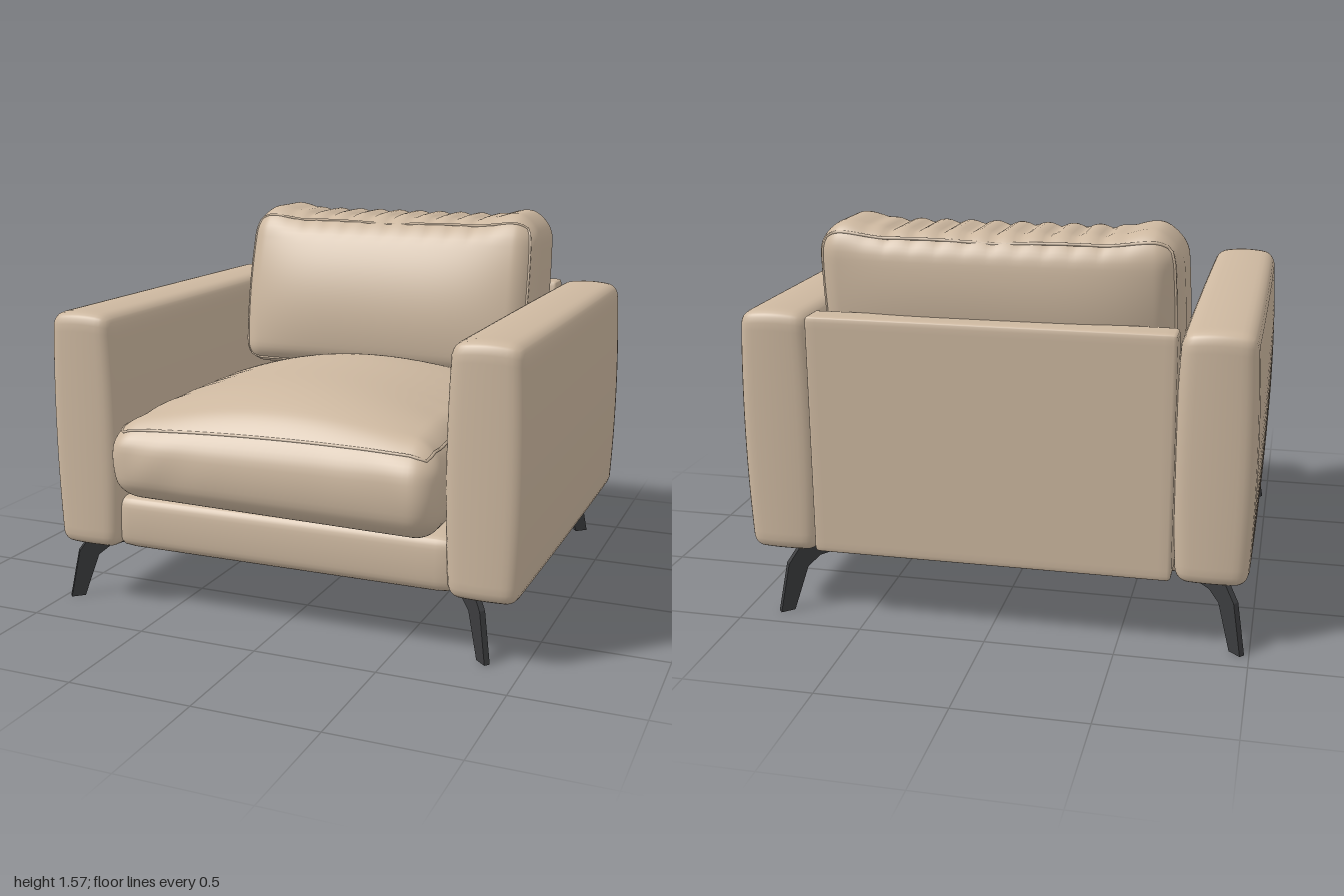
import * as THREE from 'three';
import { mergeVertices } from 'three/addons/utils/BufferGeometryUtils.js';

const { clamp } = THREE.MathUtils;

// Rounds a point of a box surface to radius r, then applies a shaping rule.
// The rule gets the point and its normalised coordinates u, v, w in -1..1.
function soften(p, half, r, rule) {
  const inner = new THREE.Vector3(
    clamp(p.x, r - half.x, half.x - r),
    clamp(p.y, r - half.y, half.y - r),
    clamp(p.z, r - half.z, half.z - r));
  p.sub(inner).setLength(r).add(inner);
  rule(p, p.x / half.x, p.y / half.y, p.z / half.z);
  return p;
}

// Upholstered block: a box grid, denser toward its edges, rounded and shaped
function softBox(half, r, segs, rule) {
  const geo = new THREE.BoxGeometry(2, 2, 2, ...segs);
  geo.deleteAttribute('uv');
  geo.deleteAttribute('normal');
  const pos = geo.attributes.position;
  const p = new THREE.Vector3();
  const warp = (t) => Math.sign(t) * (1 - Math.pow(1 - Math.min(1, Math.abs(t)), 1.7));
  for (let i = 0; i < pos.count; i++) {
    p.fromBufferAttribute(pos, i);
    p.set(warp(p.x), warp(p.y), warp(p.z)).multiply(half);
    soften(p, half, r, rule);
    pos.setXYZ(i, p.x, p.y, p.z);
  }
  const merged = mergeVertices(geo, 1e-5);
  merged.computeVertexNormals();
  return merged;
}

// Piping that follows four edges of a soft box; corner(a, b) gives an edge point
function piping(half, r, rule, corner) {
  const pts = [];
  const sides = [[-1, -1, 1, 0], [1, -1, 0, 1], [1, 1, -1, 0], [-1, 1, 0, -1]];
  const n = 16;
  for (const [a, b, da, db] of sides) {
    for (let i = 0; i < n; i++) {
      const t = (2 * i) / n;
      const p = corner(a + da * t, b + db * t).multiply(half);
      pts.push(soften(p, half, r, rule));
    }
  }
  return new THREE.TubeGeometry(new THREE.CatmullRomCurve3(pts, true), 160, 0.006, 6, true);
}

export function createModel() {
  const model = new THREE.Group();
  model.name = 'armchair';
  const fabric = new THREE.MeshStandardMaterial({ color: 0xcdb8a0 });
  fabric.name = 'beige upholstery';
  const metal = new THREE.MeshStandardMaterial({ color: 0x3b3c3e });
  metal.name = 'dark metal';

  const add = (name, geo, mat, x = 0, y = 0, z = 0, parent = model) => {
    const mesh = new THREE.Mesh(geo, mat);
    mesh.name = name;
    mesh.position.set(x, y, z);
    parent.add(mesh);
    return mesh;
  };

  // Arms: tall slabs with slightly swollen sides and crowned tops
  const armHalf = new THREE.Vector3(0.137, 0.482, 0.858);
  const armGeo = softBox(armHalf, 0.05, [16, 24, 28], (p, u, v, w) => {
    p.x += 0.016 * u * (1 - v * v) + 0.004 * u * (1 - w * w);
    p.z += 0.014 * w * (1 - u * u);
    if (v > 0) p.y += 0.016 * v * (1 - u * u);
  });
  add('leftArm', armGeo, fabric, 0.845, 0.739, -0.03);
  add('rightArm', armGeo, fabric, -0.845, 0.739, -0.03);

  // Seat base between the arms
  const baseHalf = new THREE.Vector3(0.725, 0.113, 0.8);
  add('seatBase', softBox(baseHalf, 0.045, [16, 16, 16], (p, u, v, w) => {
    if (w > 0) p.z += 0.012 * w * (1 - v * v);
  }), fabric, 0, 0.368, -0.01);

  // Back panel, thicker toward its foot on the inside
  const panelHalf = new THREE.Vector3(0.7, 0.475, 0.06);
  add('backPanel', softBox(panelHalf, 0.018, [20, 24, 12], (p, u, v, w) => {
    if (w > 0) p.z += 0.07 * w * (1 - v);
  }), fabric, 0, 0.755, -0.87);

  // Seat cushion: domed top, rolled front and light creases near the sides
  const seat = new THREE.Group();
  seat.name = 'seatCushion';
  seat.position.set(0, 0.65, 0.23);
  model.add(seat);
  const seatHalf = new THREE.Vector3(0.675, 0.17, 0.655);
  const seatRule = (p, u, v, w) => {
    if (v > 0) p.y += 0.15 * v * (1 - u * u) * (1 - w ** 4);
    p.y += 0.012 * u * v;
    p.x += 0.018 * u * (1 - v * v);
    if (w > 0) p.z += 0.045 * w * (1 - v * v);
    // creases along the sides and front
    p.y += 0.005 * u ** 6 * Math.sin(p.z * 38 + 2 * Math.sin(p.z * 9)) * Math.max(0, v);
    if (w > 0.7) p.z += 0.006 * Math.sin(p.x * 23 + 3 * u * v) * u * u * (1 - v * v);
  };
  add('seatPad', softBox(seatHalf, 0.1, [56, 20, 56], seatRule), fabric, 0, 0, 0, seat);
  add('seatPiping', piping(seatHalf, 0.1, seatRule, (a, b) => new THREE.Vector3(a, 1, b)),
    fabric, 0, 0, 0, seat);

  // Back cushion: leaning, full in the middle, gathered along its top
  const back = new THREE.Group();
  back.name = 'backCushion';
  back.position.set(0, 1.19, 0);
  model.add(back);
  const backHalf = new THREE.Vector3(0.69, 0.35, 0.2);
  const backRule = (p, u, v, w) => {
    const thick = 0.2 + 0.09 * (1 - v * v) * (1 - u ** 4);
    p.z = -0.55 - 0.075 * v + w * thick;
    p.x += 0.014 * u * (1 - v * v);
    if (v > 0.7) {
      const k = (v - 0.7) / 0.3;
      const gather = clamp((0.74 - Math.abs(u)) * 8, 0, 1) * (1 - 0.6 * w * w);
      p.y += k * gather * (0.022 * Math.abs(Math.sin(p.x * 31)) - 0.012);
      p.y += k * 0.028 * Math.exp(-(((Math.abs(u) - 0.83) / 0.12) ** 2));
    }
  };
  add('backPad', softBox(backHalf, 0.1, [120, 32, 24], backRule), fabric, 0, 0, 0, back);
  for (const [name, side] of [['frontPiping', 1], ['rearPiping', -1]]) {
    add(name, piping(backHalf, 0.1, backRule, (a, b) => new THREE.Vector3(a, b, side)),
      fabric, 0, 0, 0, back);
  }

  // Legs: bent blades splayed toward the corners
  const blade = new THREE.Shape([
    [0, 0.262], [0, 0.235], [0.185, 0.212], [0.238, 0.175], [0.302, 0],
    [0.36, 0], [0.318, 0.2], [0.27, 0.262],
  ].map(([d, y]) => new THREE.Vector2(d, y)));
  const legGeo = new THREE.ExtrudeGeometry(blade, { depth: 0.024, bevelEnabled: false });
  legGeo.translate(0, 0, -0.012);
  for (const sx of [1, -1]) {
    for (const sz of [1, -1]) {
      const name = (sz > 0 ? 'front' : 'rear') + (sx > 0 ? 'Left' : 'Right') + 'Leg';
      const leg = add(name, legGeo, metal, -0.055 + sx * 0.65, 0, -0.065 + sz * 0.61);
      leg.rotation.y = -Math.atan2(sz * 0.24, sx * 0.27);
    }
  }
  return model;
}
